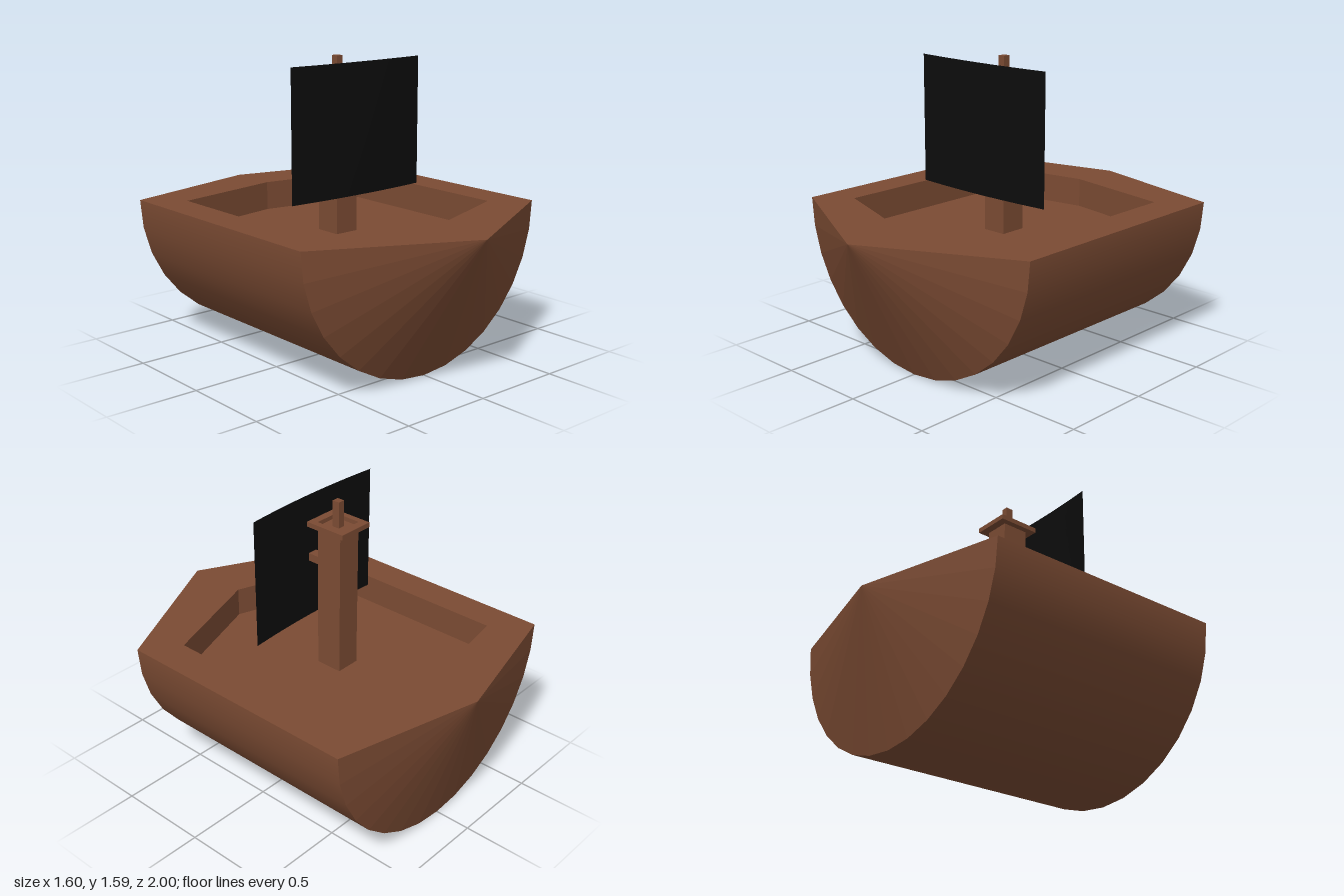
import * as THREE from 'three';

const wood = new THREE.MeshStandardMaterial({ color: 0x7b4b33 });
const woodFlat = new THREE.MeshStandardMaterial({ color: 0x7b4b33, flatShading: true, side: THREE.DoubleSide });
const cloth = new THREE.MeshStandardMaterial({ color: 0x0c0c0c, side: THREE.DoubleSide });

const R = 0.8, DECK = 0.8, FLOOR = 0.64;
const BOW = 0.59, STERN = -0.8;      // ends of the straight hull
const MAST_X = -0.004, MAST_Z = -0.087;

export function createModel() {
  const model = new THREE.Group();

  const add = (name, geometry, material, x = 0, y = 0, z = 0, parent = model) => {
    const mesh = new THREE.Mesh(geometry, material);
    mesh.name = name;
    mesh.position.set(x, y, z);
    parent.add(mesh);
    return mesh;
  };
  const box = (name, w, y0, y1, d, x, z) =>
    add(name, new THREE.BoxGeometry(w, y1 - y0, d), woodFlat, x, (y0 + y1) / 2, z);

  // Six-sided plan outline as [x, z] points, starting at the bow tip
  const hexagon = (left, right, bowTip, bow, stern, sternTip) =>
    [[0, bowTip], [right, bow], [right, stern], [0, sternTip], [left, stern], [left, bow]];
  const toPoints = (loop) => loop.map(([x, z]) => new THREE.Vector2(x, -z));
  const outer = hexagon(-R, R, 1, BOW, STERN, -1);
  const inner = hexagon(-0.617, 0.607, 0.66, 0.445, -0.617, -0.722);

  // Hull: half barrel with a half cone at each end
  const barrel = new THREE.CylinderGeometry(R, R, BOW - STERN, 16, 1, true, -Math.PI / 2, Math.PI);
  barrel.rotateX(Math.PI / 2);
  add('hullBarrel', barrel, wood, 0, DECK, (BOW + STERN) / 2);

  const bow = new THREE.ConeGeometry(R, 1 - BOW, 16, 1, true, -Math.PI / 2, Math.PI);
  bow.rotateX(Math.PI / 2);
  add('bow', bow, woodFlat, 0, DECK, (1 + BOW) / 2);

  const stern = new THREE.ConeGeometry(R, 1 + STERN, 16, 1, true, Math.PI / 2, Math.PI);
  stern.rotateX(-Math.PI / 2);
  add('stern', stern, woodFlat, 0, DECK, (STERN - 1) / 2);

  // Gunwale: flat rim around the sunken deck
  const rim = new THREE.Shape(toPoints(outer));
  rim.holes.push(new THREE.Path(toPoints(inner)));
  add('gunwale', new THREE.ShapeGeometry(rim).rotateX(-Math.PI / 2), woodFlat, 0, DECK, 0);

  // Sunken deck floor and its walls
  const floor = new THREE.ShapeGeometry(new THREE.Shape(toPoints(inner)));
  add('deckFloor', floor.rotateX(-Math.PI / 2), woodFlat, 0, FLOOR, 0);

  const corners = [];
  inner.forEach(([ax, az], i) => {
    const [bx, bz] = inner[(i + 1) % inner.length];
    corners.push(ax, DECK, az, bx, DECK, bz, ax, FLOOR, az);
    corners.push(bx, DECK, bz, bx, FLOOR, bz, ax, FLOOR, az);
  });
  const walls = new THREE.BufferGeometry();
  walls.setAttribute('position', new THREE.Float32BufferAttribute(corners, 3));
  walls.computeVertexNormals();
  add('deckWalls', walls, woodFlat);

  // Mast, square lookout ring and top pole
  box('mast', 0.138, FLOOR, 1.443, 0.15, MAST_X, MAST_Z);
  box('topPole', 0.038, 1.443, 1.585, 0.042, MAST_X, MAST_Z);

  const rectangle = (Type, w, d) => new Type([[-1, -1], [1, -1], [1, 1], [-1, 1]]
    .map(([sx, sy]) => new THREE.Vector2(sx * w / 2, sy * d / 2)));
  const ring = rectangle(THREE.Shape, 0.204, 0.236);
  ring.holes.push(rectangle(THREE.Path, 0.138, 0.15));
  const lookout = new THREE.ExtrudeGeometry(ring, { depth: 0.027, bevelEnabled: false });
  add('lookoutRing', lookout.rotateX(-Math.PI / 2), woodFlat, MAST_X, 1.439, MAST_Z);

  // Short arm holding the sail
  box('sailArm', 0.055, 1.197, 1.24, 0.108, MAST_X, 0.036);

  // Sail: thin sheet bulging gently forward
  const W = 0.872, H = 0.7;
  const sail = new THREE.PlaneGeometry(W, H, 12, 8);
  const p = sail.attributes.position;
  for (let i = 0; i < p.count; i++) {
    const u = p.getX(i) / (W / 2), v = p.getY(i) / (H / 2);
    p.setZ(i, 0.02 * (1 - u * u) + 0.004 * (1 - v * v) * (1 - u * u));
  }
  sail.computeVertexNormals();
  add('sail', sail, cloth, -0.007, 1.216, 0.076);

  return model;
}
